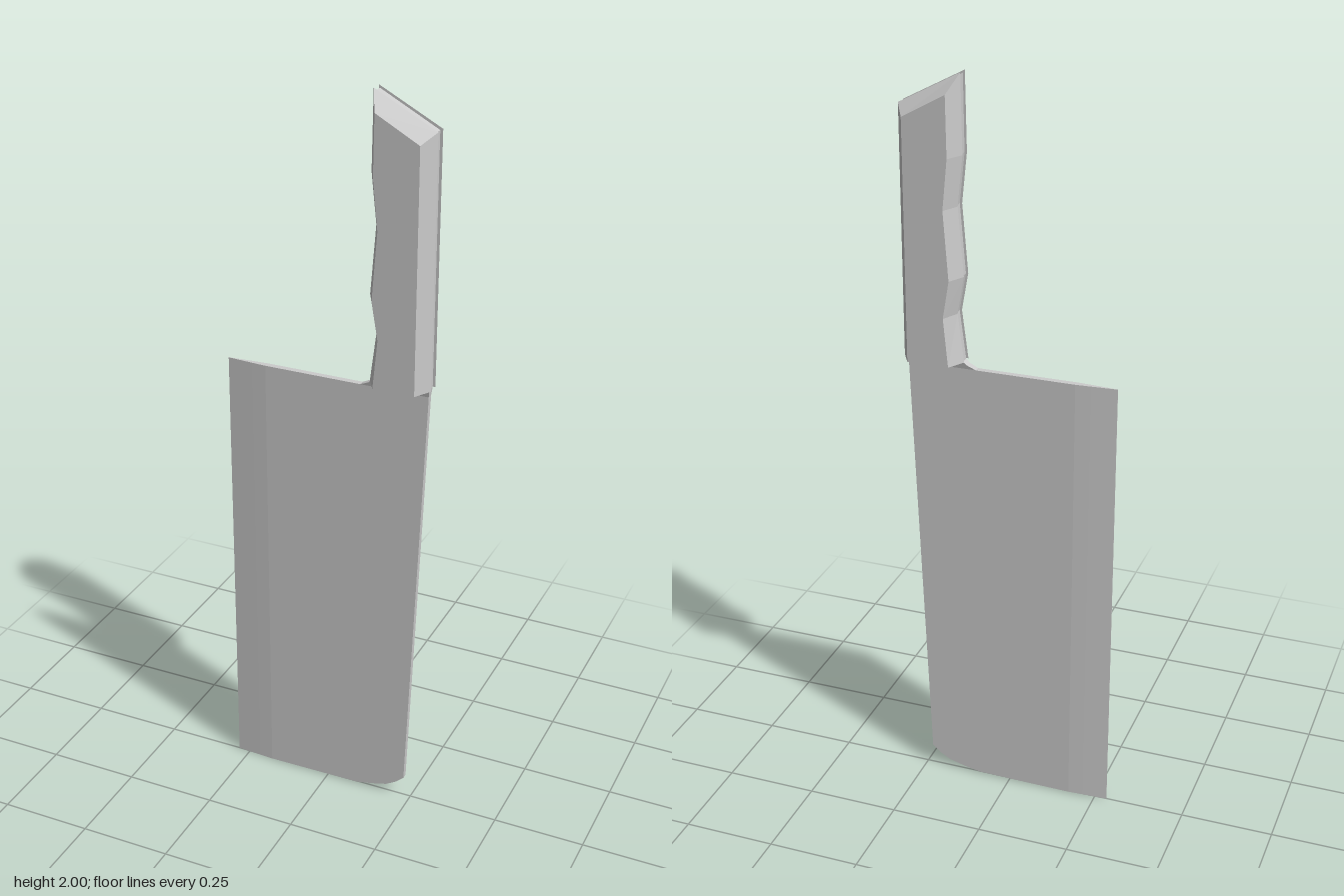
import * as THREE from 'three';

// Skins a list of equal-length rings (counter-clockwise seen from the last ring's end) and caps both ends.
function loft(name, rings) {
  const pos = [];
  const tri = (a, b, c) => pos.push(...a, ...b, ...c);
  const n = rings[0].length;
  for (let r = 0; r < rings.length - 1; r++) {
    const a = rings[r], b = rings[r + 1];
    for (let i = 0; i < n; i++) {
      const j = (i + 1) % n;
      tri(a[i], a[j], b[j]);
      tri(a[i], b[j], b[i]);
    }
  }
  const first = rings[0], last = rings[rings.length - 1];
  for (let i = 1; i < n - 1; i++) {
    tri(first[0], first[i + 1], first[i]);
    tri(last[0], last[i], last[i + 1]);
  }
  const geo = new THREE.BufferGeometry();
  geo.setAttribute('position', new THREE.Float32BufferAttribute(pos, 3));
  geo.computeVertexNormals();
  const mesh = new THREE.Mesh(geo, new THREE.MeshStandardMaterial({ color: 0xcccccc, flatShading: true }));
  mesh.name = name;
  return mesh;
}

export function createModel() {
  const group = new THREE.Group();
  group.name = 'cleaver';

  // Blade columns from cutting edge to spine: x, bottom y, top y, half thickness
  const columns = [
    [-0.284, 0, 1.24, 0.0004],
    [-0.25, 0, 1.24, 0.003],
    [-0.215, 0.001, 1.24, 0.0055],
    [-0.175, 0.001, 1.24, 0.008],
    [-0.07, 0.002, 1.24, 0.008],
    [0.09, 0.004, 1.24, 0.008],
    [0.135, 0.013, 1.24, 0.008],
    [0.18, 0.025, 1.24, 0.008],
    [0.21, 0.043, 1.24, 0.008],
    [0.231, 0.062, 1.24, 0.008],
    [0.274, 1.235, 1.24, 0.008],
  ];
  group.add(loft('blade', columns.map(([x, lo, hi, h]) =>
    [[x, hi, -h], [x, hi, h], [x, lo, h], [x, lo, -h]])));

  // Finger-grip profile: y, front x of the scale's inner face, front x of its outer face
  const grip = [
    [1.26, 0.119, 0.145],
    [1.39, 0.135, 0.157],
    [1.49, 0.117, 0.14],
    [1.67, 0.131, 0.153],
    [1.8, 0.117, 0.14],
  ];

  // Neck and tang rows: left x, left y, right x, right y, half thickness
  const tang = [
    [0.09, 1.24, 0.274, 1.24, 0.008],
    [0.112, 1.25, 0.275, 1.25, 0.01],
    ...grip.map(([y, x]) => [x + 0.005, y, 0.276, y, 0.012]),
    [0.124, 1.993, 0.276, 1.912, 0.012],
  ];
  group.add(loft('tang', tang.map(([xl, yl, xr, yr, h]) =>
    [[xr, yr, h], [xr, yr, -h], [xl, yl, -h], [xl, yl, h]])));

  // Two mirrored handle scales with bevelled sides and slanted tops
  for (const side of [1, -1]) {
    const zi = 0.015 * side, zo = 0.06 * side;
    const rings = grip.map(([y, xi, xo]) =>
      [[0.282, y, zi], [xi, y, zi], [xo, y, zo], [0.256, y, zo]]);
    rings.push([[0.282, 1.915, zi], [0.12, 2, zi], [0.142, 1.955, zo], [0.256, 1.892, zo]]);
    if (side < 0) rings.forEach(ring => ring.reverse());
    group.add(loft(side > 0 ? 'frontHandleScale' : 'backHandleScale', rings));
  }
  return group;
}
